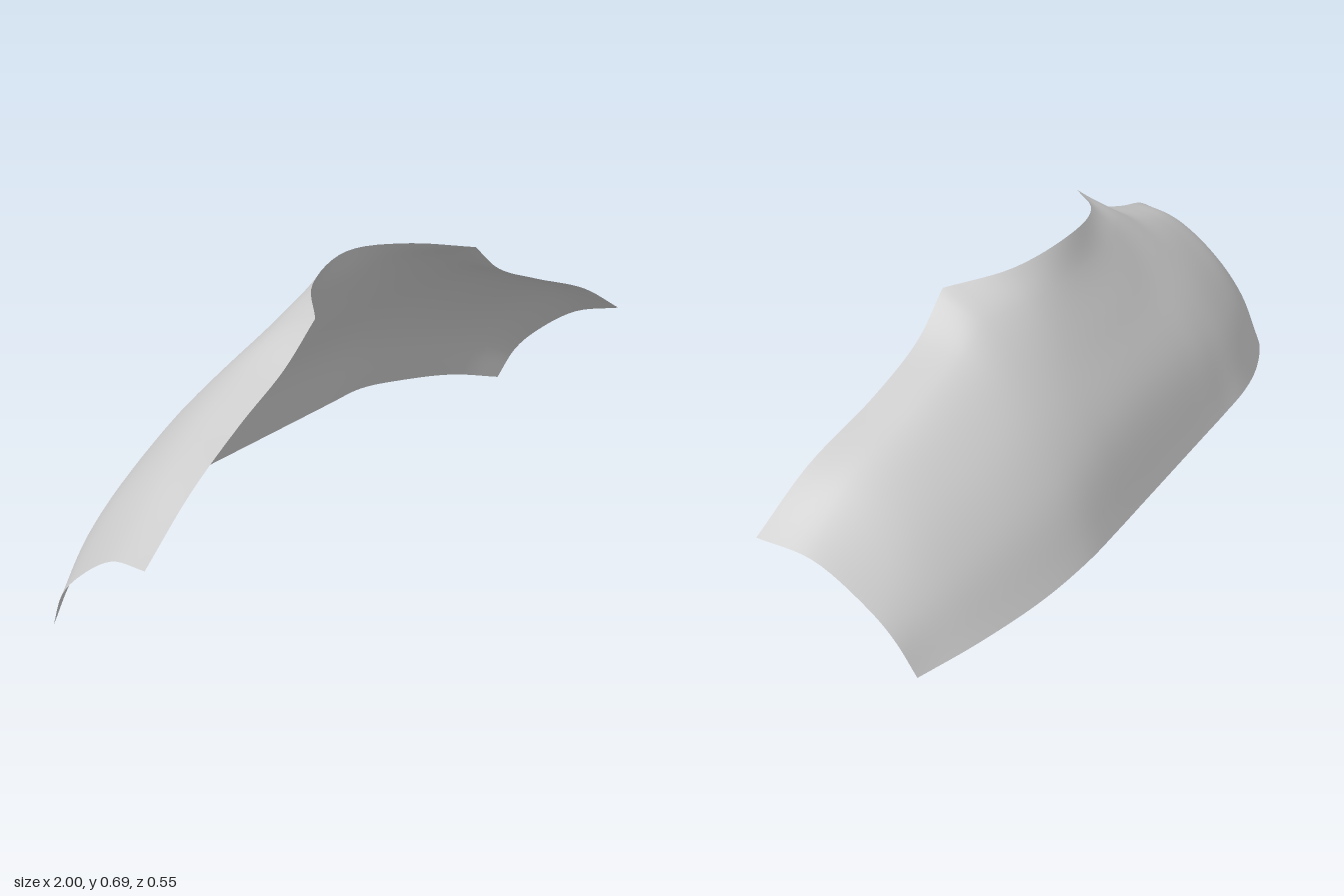
import * as THREE from 'three';

// Cross-sections of one half, from the centre line out to the sleeve end.
// Each runs from the neck / shoulder edge down the back to the lower hem.
const SECTIONS = [
  [[0, 0.685, 0.03], [0, 0.6, -0.007], [0, 0.455, -0.1], [0, 0.29, -0.202], [0, 0.075, -0.275]],
  [[0.2, 0.664, 0.08], [0.2, 0.595, 0.012], [0.195, 0.452, -0.095], [0.19, 0.287, -0.202], [0.18, 0.075, -0.275]],
  [[0.335, 0.642, 0.196], [0.342, 0.585, 0.065], [0.34, 0.445, -0.083], [0.33, 0.28, -0.2], [0.32, 0.075, -0.275]],
  [[0.45, 0.552, 0.197], [0.46, 0.528, 0.07], [0.47, 0.415, -0.073], [0.465, 0.263, -0.189], [0.46, 0.075, -0.272]],
  [[0.62, 0.48, 0.211], [0.63, 0.46, 0.09], [0.635, 0.365, -0.042], [0.635, 0.23, -0.153], [0.62, 0.057, -0.24]],
  [[0.83, 0.4, 0.248], [0.82, 0.38, 0.13], [0.81, 0.3, 0], [0.81, 0.18, -0.1], [0.8, 0.033, -0.175]],
  [[1, 0.297, 0.273], [0.972, 0.264, 0.145], [0.957, 0.17, 0.015], [0.95, 0.1, -0.048], [0.937, 0, -0.097]],
];
const LAST = SECTIONS.length - 1;
const CORNER = 2; // section at the neck corner

const spline = (points) => new THREE.CatmullRomCurve3(points, false, 'centripetal');

// Lengthwise curves through matching points of all sections, mirrored across x = 0
const rails = SECTIONS[0].map((_, row) => {
  const points = [];
  for (let i = -LAST; i <= LAST; i++) {
    const [x, y, z] = SECTIONS[Math.abs(i)][row];
    points.push(new THREE.Vector3(Math.sign(i) * x, y, z));
  }
  // The upper edge is split so the neck corners stay sharp
  const breaks = row === 0
    ? [0, LAST - CORNER, LAST + CORNER, 2 * LAST]
    : [0, 2 * LAST];
  const pieces = breaks.slice(1).map((end, k) => ({
    start: breaks[k], end, curve: spline(points.slice(breaks[k], end + 1)),
  }));
  return (s) => {
    const piece = pieces.find((p) => s <= p.end + 1e-6);
    const t = (s - piece.start) / (piece.end - piece.start);
    return piece.curve.getPoint(THREE.MathUtils.clamp(t, 0, 1));
  };
});

// Curved sheet: a flat grid bent over the rails
function createSheet(columns, rows) {
  const geometry = new THREE.PlaneGeometry(1, 1, columns, rows);
  const position = geometry.attributes.position;
  for (let c = 0; c <= columns; c++) {
    // Runs from +x to -x so the outer face points to the back
    const s = (1 - c / columns) * 2 * LAST;
    const section = spline(rails.map((rail) => rail(s)));
    for (let r = 0; r <= rows; r++) {
      const p = section.getPoint(r / rows);
      position.setXYZ(r * (columns + 1) + c, p.x, p.y, p.z);
    }
  }
  geometry.computeVertexNormals();
  return geometry;
}

export function createModel() {
  const model = new THREE.Group();
  model.name = 'shoulderYoke';

  const material = new THREE.MeshStandardMaterial({ color: 0xcccccc, side: THREE.DoubleSide });
  const panel = new THREE.Mesh(createSheet(72, 24), material);
  panel.name = 'backAndShoulderPanel';
  model.add(panel);

  return model;
}
